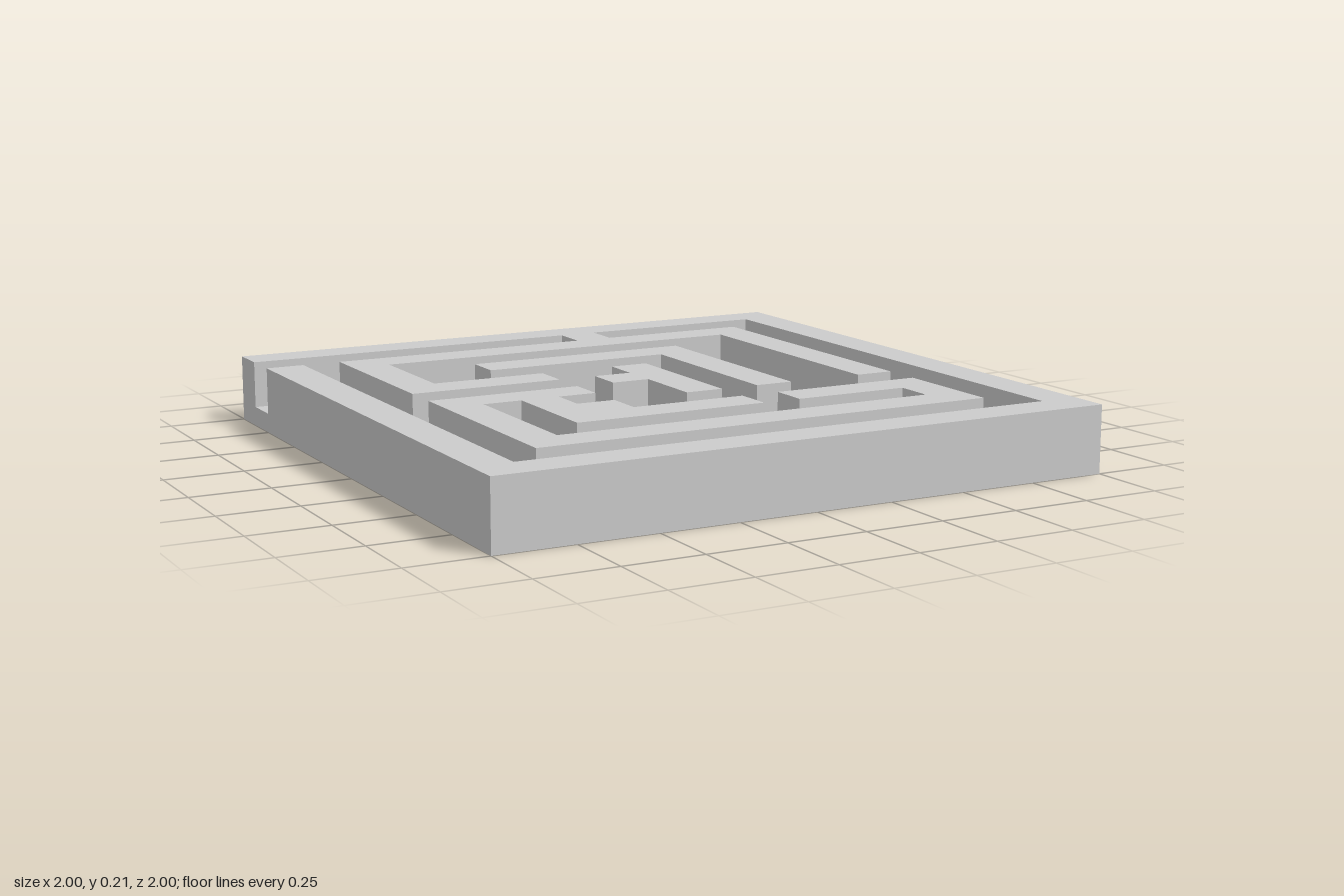
import * as THREE from 'three';

const CELL = 0.125;    // maze grid step, 16 x 16 cells
const FLOOR = 0.0625;  // slab thickness
const HEIGHT = 0.2125; // top of the walls

// Wall outlines as [column, row] grid corners, row 0 at the back
const WALLS = {
  // border with the entrance slot, joined to the inner ring
  outerWall: [
    [0, 0], [16, 0], [16, 16], [0, 16], [0, 2], [1, 2], [1, 15], [15, 15],
    [15, 1], [10, 1], [10, 2], [14, 2], [14, 10], [13, 10], [13, 3], [3, 3],
    [3, 6], [6, 6], [6, 7], [2, 7], [2, 2], [9, 2], [9, 1], [0, 1],
  ],
  hookWall: [[5, 4], [11, 4], [11, 10], [10, 10], [10, 5], [5, 5]],
  centreWall: [[8, 6], [9, 6], [9, 10], [8, 10], [8, 8], [7, 8], [7, 7], [8, 7]],
  frontWall: [
    [2, 8], [6, 8], [6, 9], [5, 9], [5, 10], [6, 10], [6, 11], [9, 11],
    [9, 12], [4, 12], [4, 9], [3, 9], [3, 13], [13, 13], [13, 12], [10, 12],
    [10, 11], [14, 11], [14, 14], [2, 14],
  ],
};

export function createModel() {
  const group = new THREE.Group();
  group.name = 'maze';
  const material = new THREE.MeshStandardMaterial({ color: 0xcccccc });

  const add = (name, geometry) => {
    const mesh = new THREE.Mesh(geometry, material);
    mesh.name = name;
    group.add(mesh);
  };

  // Floor slab
  add('floor', new THREE.BoxGeometry(2, FLOOR, 2).translate(0, FLOOR / 2, 0));

  // Walls standing on the slab
  for (const [name, corners] of Object.entries(WALLS)) {
    const shape = new THREE.Shape(
      corners.map(([c, r]) => new THREE.Vector2(c * CELL - 1, 1 - r * CELL)),
    );
    const geometry = new THREE.ExtrudeGeometry(shape, { depth: HEIGHT - FLOOR, bevelEnabled: false });
    add(name, geometry.rotateX(-Math.PI / 2).translate(0, FLOOR, 0));
  }

  return group;
}
